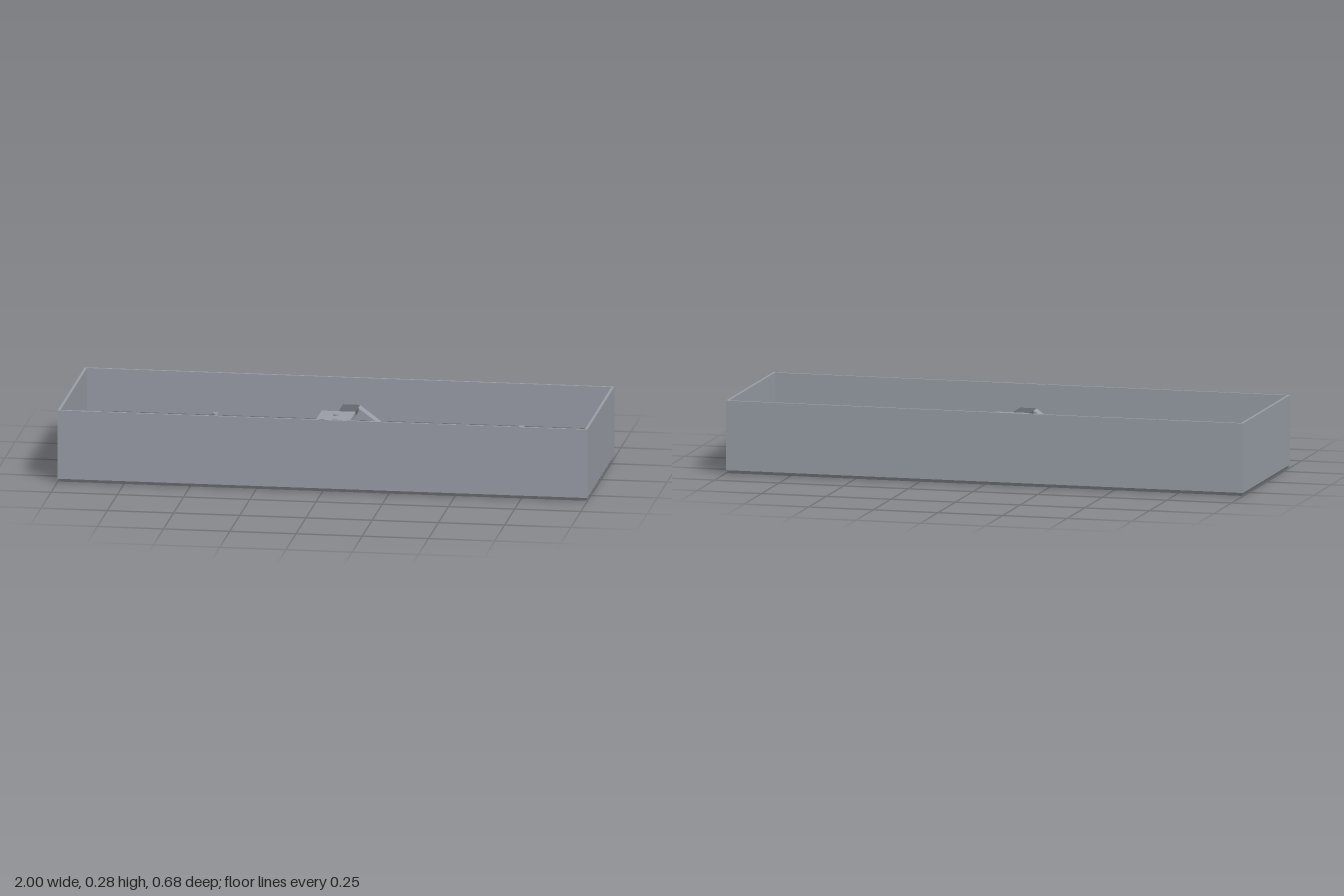
import * as THREE from 'three';

const mat = (name, color) => Object.assign(new THREE.MeshStandardMaterial({ color }), { name });

export function createModel() {
  const model = new THREE.Group();
  model.name = 'arena';
  const wallGrey = mat('wall grey', 0x9a9fa8);
  const floorGrey = mat('floor grey', 0x66696e);
  const cyan = mat('pale cyan', 0x88c8d0);

  const add = (name, geometry, material, x, y, z, parent = model) => {
    const mesh = new THREE.Mesh(geometry, material);
    mesh.name = name;
    mesh.position.set(x, y, z);
    parent.add(mesh);
    return mesh;
  };
  // Box given by its limits on each axis
  const box = (name, material, [x0, x1], [y0, y1], [z0, z1], parent) =>
    add(name, new THREE.BoxGeometry(x1 - x0, y1 - y0, z1 - z0), material,
      (x0 + x1) / 2, (y0 + y1) / 2, (z0 + z1) / 2, parent);

  const F = 0.012; // floor top
  const H = 0.275; // wall top
  const T = 0.01;  // wall thickness
  const W = 0.338; // half depth

  // Floor and surrounding walls
  box('floor', floorGrey, [-0.994, 0.994], [0, F], [-0.332, 0.332]);
  for (const s of [-1, 1]) {
    const zs = [s * W, s * (W - T)].sort((a, b) => a - b);
    const xs = [s, s * (1 - T)].sort((a, b) => a - b);
    box('longWall', wallGrey, [-1, 1], [F, H], zs);
    box('endWall', wallGrey, xs, [F, H], [-W + T, W - T]);
  }

  // Platforms with a small marker on top
  const platform = (x, top) => {
    box('platform', wallGrey, [x - 0.064, x + 0.064], [F, top], [-0.066, 0.066]);
    add('platformMarker', new THREE.CylinderGeometry(0.01, 0.01, 0.006, 12), wallGrey, x, top + 0.003, 0);
  };
  platform(-0.795, 0.145);
  platform(0, 0.21);
  platform(0.795, 0.145);

  // Cross beam
  box('crossBeam', cyan, [-0.023, 0.023], [0.122, 0.138], [-0.3, 0.3]);

  // Sloping slab from (x0, top) down to the floor at x1
  const ramp = (x0, x1, top, parent) => {
    const s = new THREE.Shape();
    s.moveTo(x0, top);
    s.lineTo(x0, top - 0.022);
    s.lineTo(x1 - 0.025, F);
    s.lineTo(x1, F);
    s.closePath();
    const g = new THREE.ExtrudeGeometry(s, { depth: 0.046, bevelEnabled: false });
    add('ramp', g, wallGrey, 0, 0, -0.172, parent);
  };

  // Each half repeats turned by 180 degrees
  for (const turn of [0, Math.PI]) {
    const half = new THREE.Group();
    half.name = turn ? 'frontHalf' : 'backHalf';
    half.rotation.y = turn;
    model.add(half);

    // Raised walkway along the wall
    box('walkway', floorGrey, [-0.927, 0.927], [0.105, 0.12], [-0.3, -0.25], half);

    // Landings and ramps
    box('centreLanding', floorGrey, [0, 0.065], [0.195, 0.21], [-0.175, -0.066], half);
    ramp(0.065, 0.33, 0.21, half);
    box('sideLanding', floorGrey, [-0.798, -0.731], [0.13, 0.145], [-0.175, -0.066], half);
    ramp(-0.731, -0.465, 0.145, half);

    // Round pads on the floor
    for (const x of [-0.235, 0.495]) {
      add('floorPad', new THREE.CylinderGeometry(0.023, 0.023, 0.01, 20), wallGrey, x, F + 0.005, -0.2, half);
    }
    // Small round markers on floor and walkway
    for (const [x, y, z] of [[-0.5, 0.12, -0.298], [0.66, 0.12, -0.268], [0.163, F, -0.235], [-0.928, F, 0]]) {
      add('smallMarker', new THREE.CylinderGeometry(0.011, 0.011, 0.008, 12), wallGrey, x, y + 0.004, z, half);
    }
    // Thin upright panels
    box('panel', cyan, [-0.403, -0.395], [F, 0.045], [-0.025, 0.025], half);
    box('panel', cyan, [0.59, 0.598], [F, 0.045], [-0.193, -0.143], half);
  }
  return model;
}
